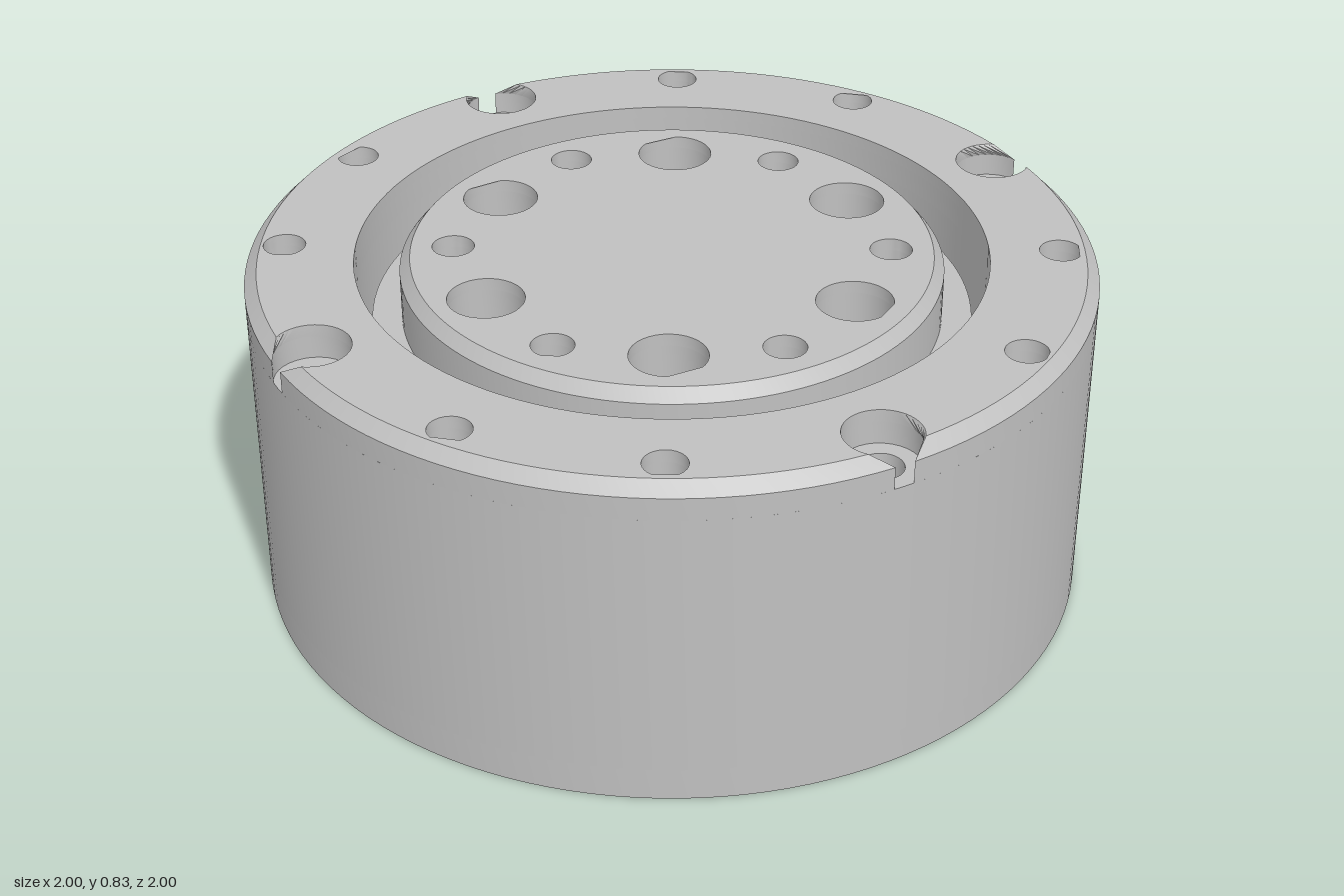
import * as THREE from 'three';
import { toCreasedNormals } from 'three/addons/utils/BufferGeometryUtils.js';

const TAU = Math.PI * 2;
const metal = new THREE.MeshStandardMaterial({ color: 0xc0c0c0 });
metal.name = 'light grey metal';

// Points of a regular polygon or fine circle
function circle(r, n = 32, cx = 0, cy = 0, start = 0) {
  return Array.from({ length: n }, (_, i) => {
    const a = start + (i / n) * TAU;
    return new THREE.Vector2(cx + r * Math.cos(a), cy + r * Math.sin(a));
  });
}

// Equal holes at the given angles (degrees) on a bolt circle
function boltHoles(angles, pitch, r, n = 32) {
  return angles.map((d) => {
    const a = THREE.MathUtils.degToRad(d);
    return circle(r, n, pitch * Math.cos(a), pitch * Math.sin(a), n === 6 ? Math.PI / 6 : 0);
  });
}

// Disc outline of radius R, broken by four counterbores that reach the rim
function notchedOutline(R, pitch, r) {
  const pts = [];
  const half = Math.acos((R * R + pitch * pitch - r * r) / (2 * R * pitch));
  const edge = Math.atan2(R * Math.sin(half), R * Math.cos(half) - pitch);
  for (let k = 0; k < 4; k++) {
    const turn = (k * Math.PI) / 2;
    const origin = new THREE.Vector2();
    for (let i = 0; i <= 28; i++) {
      const a = -edge - (i / 28) * (TAU - 2 * edge);
      pts.push(new THREE.Vector2(pitch + r * Math.cos(a), r * Math.sin(a)).rotateAround(origin, turn));
    }
    for (let i = 1; i < 32; i++) {
      const a = turn + half + (i / 32) * (Math.PI / 2 - 2 * half);
      pts.push(new THREE.Vector2(R * Math.cos(a), R * Math.sin(a)));
    }
  }
  return pts;
}

// Horizontal slab from y0 to y1 with holes; topOutline tapers the upper edge
function slab(name, y0, y1, outline, holes, topOutline) {
  const shape = new THREE.Shape(outline);
  shape.holes = holes.map((h) => new THREE.Path(h));
  let geo = new THREE.ExtrudeGeometry(shape, { depth: y1 - y0, bevelEnabled: false });
  if (topOutline) {
    const p = geo.attributes.position;
    for (let i = 0; i < p.count; i++) {
      if (p.getZ(i) < 1e-5) continue;
      const j = outline.findIndex((q) => Math.hypot(q.x - p.getX(i), q.y - p.getY(i)) < 1e-5);
      if (j >= 0) p.setXY(i, topOutline[j].x, topOutline[j].y);
    }
  }
  geo.rotateX(-Math.PI / 2);
  geo.translate(0, y0, 0);
  geo = toCreasedNormals(geo, 0.6);
  const mesh = new THREE.Mesh(geo, metal);
  mesh.name = name;
  return mesh;
}

export function createModel() {
  const model = new THREE.Group();
  model.name = 'bearing';

  const quarter = [0, 90, 180, 270];
  const between = [30, 60, 120, 150, 210, 240, 300, 330];
  const six = [0, 60, 120, 180, 240, 300];
  const sixOffset = six.map((a) => a + 30);

  // Outer ring: nut pockets below, counterbored screw holes above
  const outer = new THREE.Group();
  outer.name = 'outerRing';
  const P = 0.913, bore = circle(0.745, 128);
  const plain = circle(1, 128);
  const smallHoles = boltHoles(between, P, 0.05);
  const screwHoles = boltHoles(quarter, P, 0.05);
  const notched = notchedOutline(1, P, 0.09);
  outer.add(
    slab('nutPocketLayer', 0, 0.08, plain, [bore, ...screwHoles, ...boltHoles(between, P, 0.086, 6)]),
    slab('outerBody', 0.08, 0.745, plain, [bore, ...screwHoles, ...smallHoles]),
    slab('counterboreLayer', 0.745, 0.8, notched, [bore, ...smallHoles]),
    slab('outerChamfer', 0.8, 0.83, notched, [bore, ...smallHoles], notchedOutline(0.97, P, 0.09)),
  );

  // Inner hub: hollow, with a wider middle and a round opening underneath
  const inner = new THREE.Group();
  inner.name = 'innerHub';
  const narrow = circle(0.64, 128), wide = circle(0.71, 128);
  const opening = circle(0.37, 96), cavity = circle(0.57, 96);
  const through = boltHoles(six, 0.485, 0.05);
  const topHoles = [...boltHoles(six, 0.485, 0.09), ...boltHoles(sixOffset, 0.515, 0.05)];
  inner.add(
    slab('hubBase', 0, 0.15, narrow, [opening, ...through]),
    slab('hubFloor', 0.15, 0.195, wide, [opening, ...through]),
    slab('hubWall', 0.195, 0.6, wide, [cavity]),
    slab('hubCeiling', 0.6, 0.63, wide, through),
    slab('hubShoulder', 0.63, 0.68, wide, topHoles),
    slab('hubTop', 0.68, 0.8, narrow, topHoles),
    slab('hubChamfer', 0.8, 0.83, narrow, topHoles, circle(0.615, 128)),
  );

  // Screw tubes and blind-hole bosses inside the cavity
  const tubes = boltHoles(six, 0.485, 0.09);
  tubes.forEach((t, i) => inner.add(slab('screwTube', 0.195, 0.6, t, [through[i]])));
  boltHoles(sixOffset, 0.515, 0.08).forEach((b) => inner.add(slab('blindBoss', 0.34, 0.6, b, [])));

  model.add(outer, inner);
  return model;
}
